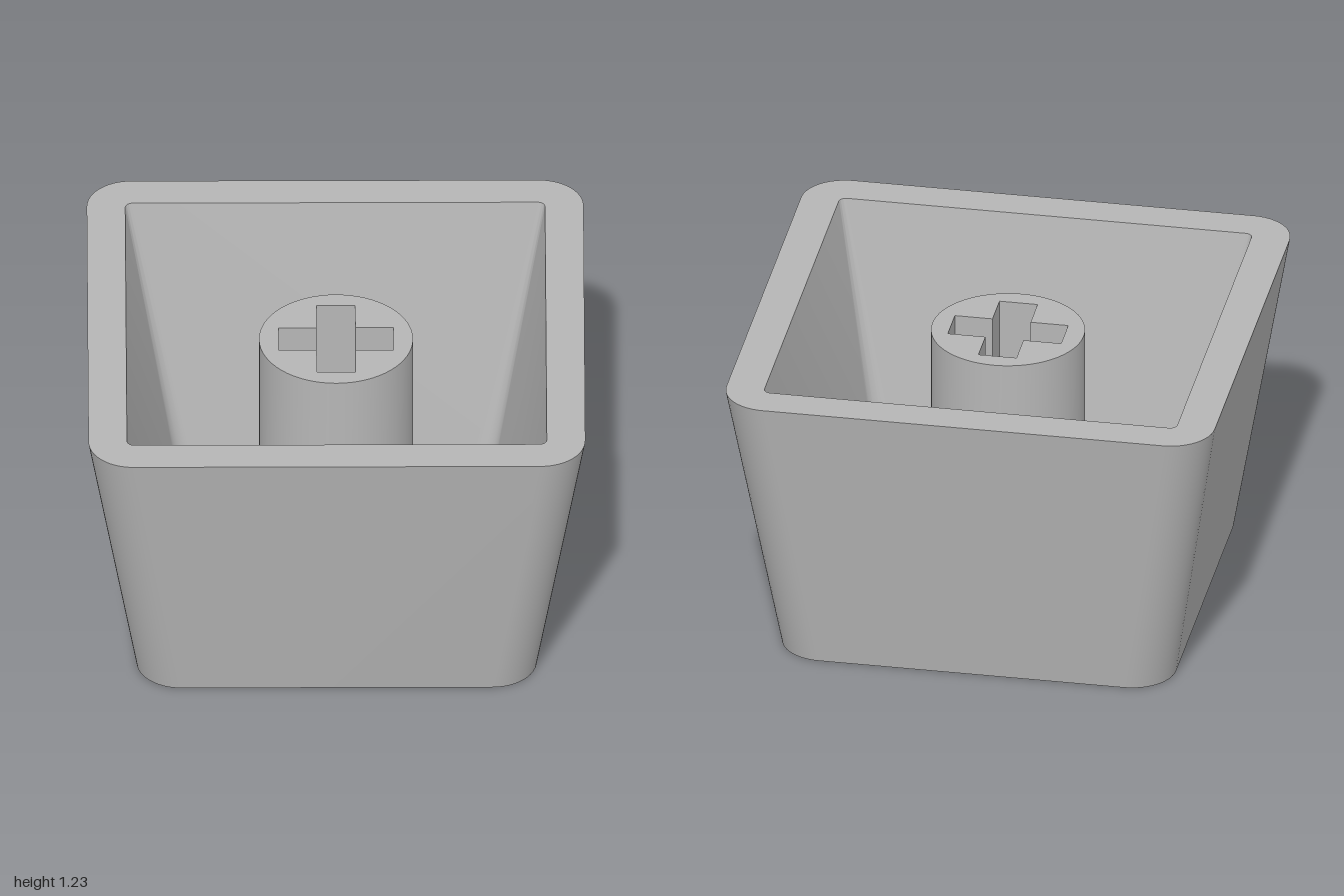
import * as THREE from 'three';
import { toCreasedNormals } from 'three/addons/utils/BufferGeometryUtils.js';

const HEIGHT = 1.225, FLOOR = 0.16, STEM_TOP = 1.15, SOCKET = 0.7;
const rad = THREE.MathUtils.degToRad;

// All outlines are 2D points (x, z), running from +x towards +z.
function arc(cx, cz, r, from, to, n = 12) {
  return Array.from({ length: n + 1 }, (_, i) => {
    const a = rad(from + (to - from) * i / n);
    return new THREE.Vector2(cx + r * Math.cos(a), cz + r * Math.sin(a));
  });
}

function roundedSquare(half, r) {
  const c = half - r;
  return [
    ...arc(c, c, r, 0, 90), ...arc(-c, c, r, 90, 180),
    ...arc(-c, -c, r, 180, 270), ...arc(c, -c, r, 270, 360),
  ];
}

// Wall between a lower and an upper outline, facing out (or in)
function wall(lower, y0, upper, y1, inward = false) {
  const n = lower.length, pos = [], index = [];
  for (let i = 0; i < n; i++) {
    pos.push(lower[i].x, y0, lower[i].y, upper[i].x, y1, upper[i].y);
    const a = 2 * i, b = a + 1, c = 2 * ((i + 1) % n), d = c + 1;
    if (inward) index.push(a, c, b, b, c, d);
    else index.push(a, b, c, b, d, c);
  }
  const g = new THREE.BufferGeometry();
  g.setAttribute('position', new THREE.Float32BufferAttribute(pos, 3));
  g.setIndex(index);
  return toCreasedNormals(g, rad(25));
}

// Flat face with an optional hole, facing up or down
function face(outline, y, up, hole) {
  const shape = new THREE.Shape(outline);
  if (hole) shape.holes.push(new THREE.Path(hole));
  const g = new THREE.ShapeGeometry(shape);
  g.rotateX(Math.PI / 2).translate(0, y, 0);
  if (up) {
    g.index.array.reverse();
    g.computeVertexNormals();
  }
  return g;
}

export function createModel() {
  const plastic = new THREE.MeshStandardMaterial({ color: 0xb6b6b6 });
  plastic.name = 'grey plastic';

  const model = new THREE.Group();
  model.name = 'keycap';
  const shell = new THREE.Group();
  shell.name = 'shell';
  const stem = new THREE.Group();
  stem.name = 'stem';
  model.add(shell, stem);

  const add = (group, name, geometry) => {
    const mesh = new THREE.Mesh(geometry, plastic);
    mesh.name = name;
    group.add(mesh);
  };

  const outerLow = roundedSquare(0.805, 0.18), outerHigh = roundedSquare(1, 0.18);
  const innerLow = roundedSquare(0.648, 0.08), innerHigh = roundedSquare(0.845, 0.03);

  // Opening: a rounded wedge running into a long slot
  const opening = [
    ...arc(-0.425, -0.45, 0.122, 180, 300),
    new THREE.Vector2(0.38, -0.128),
    ...arc(0.46, -0.495, 0.08, 180, 360),
    ...arc(0.46, 0.495, 0.08, 0, 180),
    new THREE.Vector2(0.38, 0.128),
    ...arc(-0.425, 0.45, 0.122, 60, 180),
  ];

  // Tapered shell with a pierced floor
  add(shell, 'outerWall', wall(outerLow, 0, outerHigh, HEIGHT));
  add(shell, 'innerWall', wall(innerLow, FLOOR, innerHigh, HEIGHT, true));
  add(shell, 'rim', face(outerHigh, HEIGHT, true, innerHigh));
  add(shell, 'floorUnderside', face(outerLow, 0, false, opening));
  add(shell, 'floorTop', face(innerLow, FLOOR, true, opening));
  add(shell, 'openingWall', wall(opening, 0, opening, FLOOR, true));

  // Round stem with a cross-shaped socket
  const circle = arc(0, 0, 0.31, 0, 360, 64).slice(0, -1);
  const L = 0.232, w = 0.078;
  const cross = [
    [L, -w], [L, w], [w, w], [w, L], [-w, L], [-w, w],
    [-L, w], [-L, -w], [-w, -w], [-w, -L], [w, -L], [w, -w],
  ].map(([x, z]) => new THREE.Vector2(x, z));

  add(stem, 'stemSide', wall(circle, FLOOR, circle, STEM_TOP));
  add(stem, 'stemTop', face(circle, STEM_TOP, true, cross));
  add(stem, 'stemUnderside', face(circle, FLOOR, false));
  add(stem, 'socketWall', wall(cross, SOCKET, cross, STEM_TOP, true));
  add(stem, 'socketFloor', face(cross, SOCKET, true));

  return model;
}
